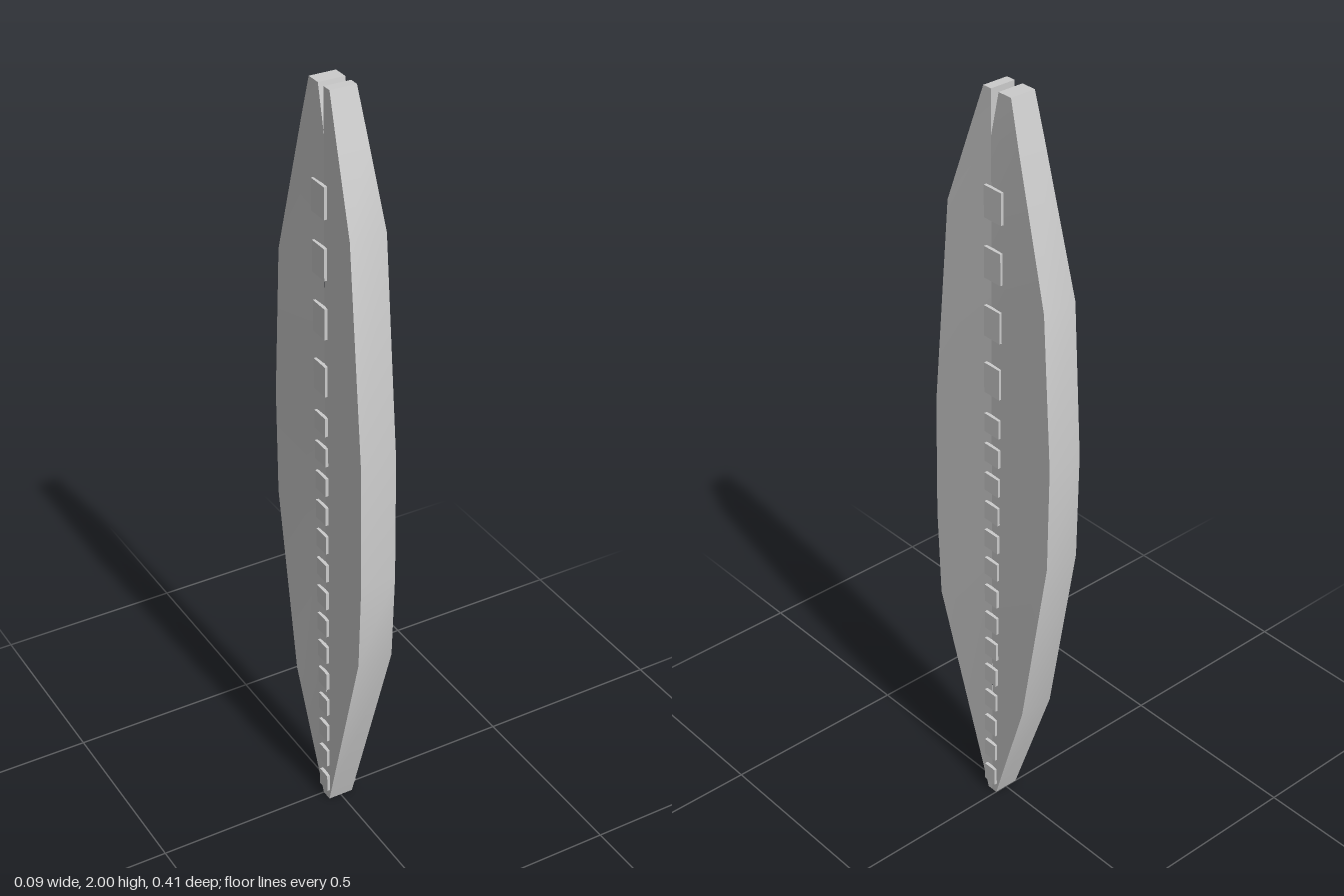
import * as THREE from 'three';
import { toCreasedNormals } from 'three/addons/utils/BufferGeometryUtils.js';

const SPINE = 0.034; // half thickness along the spine and at the tips
const RIM = 0.047;   // half thickness along the outer rim

// Rows from base to tip: [y, rim z, rim half thickness, spine z]
const frontRows = [
  [0, 0.03, SPINE, 0.015], [0.56, 0.195, RIM, 0.014], [0.8, 0.205, RIM, 0.013],
  [1.13, 0.2, RIM, 0.012], [1.69, 0.145, RIM, 0.01], [1.89, 0.074, 0.039, 0.01], [2, 0.035, SPINE, 0.01],
];
const backRows = [
  [0, 0, SPINE, 0.015], [0.345, -0.115, RIM, 0.014], [0.845, -0.2, RIM, 0.013],
  [1.13, -0.205, RIM, 0.012], [1.53, -0.18, RIM, 0.01], [1.89, -0.084, 0.038, 0.01], [2, -0.055, SPINE, -0.015],
];

// Loft four-cornered sections; side is +1 for the front half, -1 for the back
function halfBlade(rows, side) {
  const positions = [], index = [];
  for (const [y, rimZ, t, spineZ] of rows) {
    positions.push(-side * t, y, rimZ, side * t, y, rimZ,
      side * SPINE, y, spineZ, -side * SPINE, y, spineZ);
  }
  const last = rows.length - 1;
  for (let r = 0; r < last; r++) {
    for (let i = 0; i < 4; i++) {
      if (i === 2 && r < last - 1) continue; // halves join here; only the notch is walled
      const a = r * 4 + i, b = r * 4 + (i + 1) % 4;
      index.push(a, b, b + 4, a, b + 4, a + 4);
    }
  }
  const k = last * 4;
  index.push(k, k + 1, k + 2, k, k + 2, k + 3, 0, 2, 1, 0, 3, 2);
  const geometry = new THREE.BufferGeometry();
  geometry.setAttribute('position', new THREE.Float32BufferAttribute(positions, 3));
  geometry.setIndex(index);
  return toCreasedNormals(geometry, 0.5);
}

export function createModel() {
  const group = new THREE.Group();
  const material = new THREE.MeshStandardMaterial({ color: 0xcccccc });
  const add = (geometry, name) => {
    const mesh = new THREE.Mesh(geometry, material);
    mesh.name = name;
    group.add(mesh);
    return mesh;
  };

  // Slab with a notched tip, thinner along its spine
  add(halfBlade(frontRows, 1), 'frontBlade');
  add(halfBlade(backRows, -1), 'backBlade');

  // Row of studs passing through the spine, showing on both faces
  const addStud = (y, height, name) => {
    const zFront = 0.034 - 0.009 * y / 1.77;
    const zBack = -0.003 - 0.03 * y / 1.77;
    add(new THREE.BoxGeometry(0.086, height, zFront - zBack), name)
      .position.set(0, y, (zFront + zBack) / 2);
  };
  for (let i = 0; i < 4; i++) addStud(1.73 - i * 0.152, 0.08, 'largeStud');
  for (let i = 0; i < 14; i++) addStud(1.15 - i * 0.084, 0.05, 'smallStud');

  return group;
}
